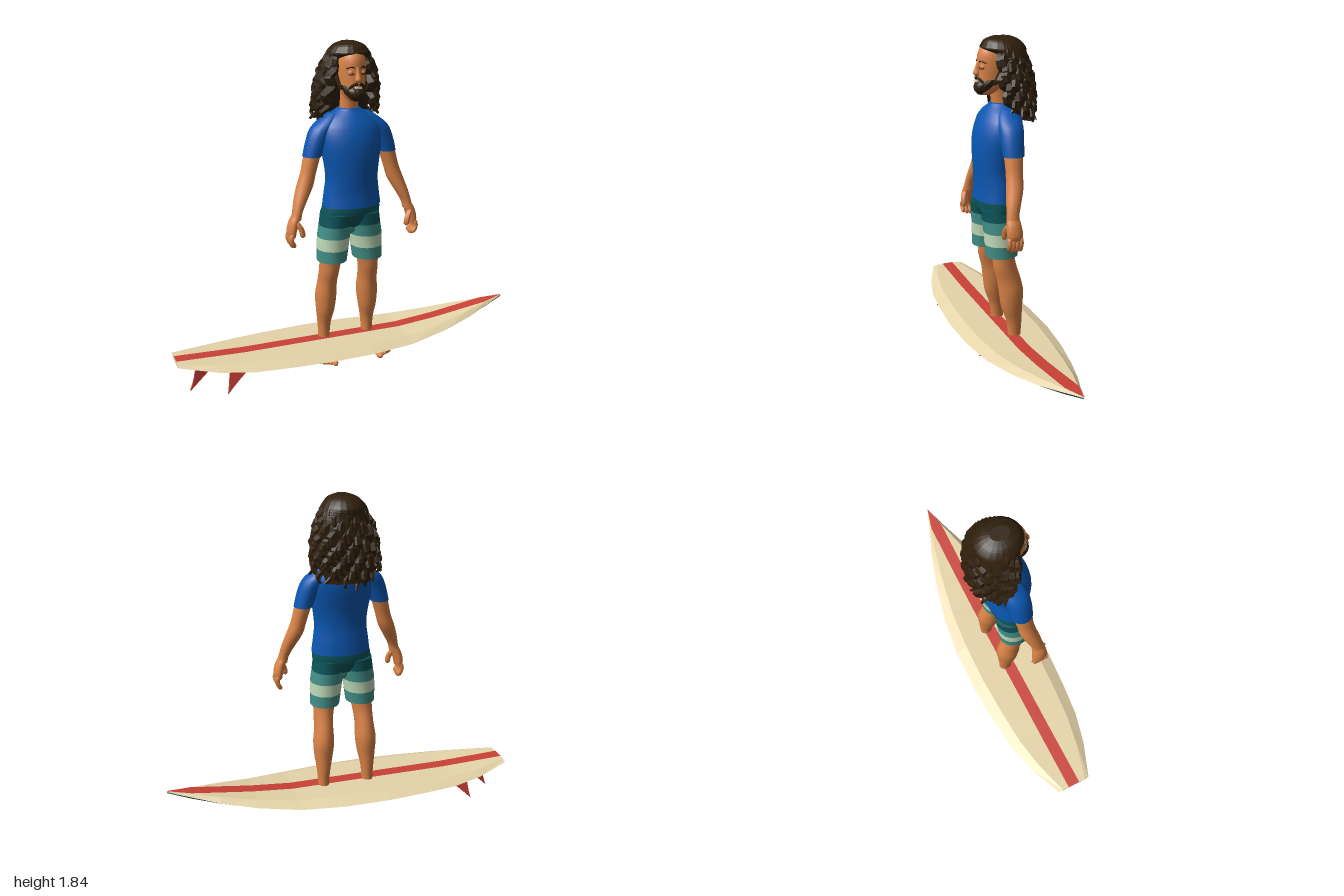
import * as THREE from 'three';

const mat = (name, color, opts = {}) => {
  const m = new THREE.MeshStandardMaterial({ color, ...opts });
  m.name = name;
  return m;
};

export function createModel() {
  const skin = mat('skin', 0xdb8347), hair = mat('hair brown', 0x30200d, { flatShading: true });
  const blue = mat('shirt blue', 0x0a57b2), dark = mat('shorts dark teal', 0x0b555b);
  const teal = mat('shorts teal', 0x439089), pale = mat('shorts pale green', 0xc2dcba);
  const cream = mat('deck cream', 0xe6d5aa, { flatShading: true });
  const hull = mat('hull dark teal', 0x2d6663, { flatShading: true });
  const red = mat('red', 0xcb4136, { flatShading: true, side: THREE.DoubleSide });
  const white = mat('teeth white', 0xe8dccb);

  const model = new THREE.Group();
  model.name = 'surferOnBoard';
  const group = (name, x = 0) => {
    const g = new THREE.Group();
    g.name = name;
    g.position.x = x;
    model.add(g);
    return g;
  };
  const add = (parent, name, geo, m) => {
    const mesh = new THREE.Mesh(geo, m);
    mesh.name = name;
    parent.add(mesh);
    return mesh;
  };

  // Skin a grid of points; the front side is (column direction) x (row direction)
  const grid = (rows, closed = false) => {
    const n = rows[0].length, index = [];
    for (let i = 0; i < rows.length - 1; i++)
      for (let j = 0; j < (closed ? n : n - 1); j++) {
        const k = (j + 1) % n, a = i * n + j, b = i * n + k, c = a + n, d = b + n;
        index.push(a, b, c, b, d, c);
      }
    const g = new THREE.BufferGeometry();
    g.setAttribute('position', new THREE.Float32BufferAttribute(rows.flat(2), 3));
    g.setIndex(index);
    g.computeVertexNormals();
    return g;
  };

  // Elliptic section [y, x, z, rx, rz] smoothly interpolated at height y
  const sectionAt = (rows, y) => {
    let i = 0;
    while (i < rows.length - 2 && y > rows[i + 1][0]) i++;
    const p = rows[i], q = rows[i + 1], h = q[0] - p[0], t = (y - p[0]) / h;
    const o = rows[Math.max(i - 1, 0)], r = rows[Math.min(i + 2, rows.length - 1)];
    return p.map((v, k) => {
      if (k === 0) return y;
      const m0 = (q[k] - o[k]) / (q[0] - o[0]) * h, m1 = (r[k] - p[k]) / (r[0] - p[0]) * h;
      const t2 = t * t, t3 = t2 * t;
      return (2 * t3 - 3 * t2 + 1) * v + (t3 - 2 * t2 + t) * m0 + (3 * t2 - 2 * t3) * q[k] + (t3 - t2) * m1;
    });
  };

  // Capped loft through sections in rising y; s mirrors it, y0..y1 cuts out a band
  const loft = (rows, s = 1, seg = 20, y0 = rows[0][0], y1 = rows[rows.length - 1][0]) => {
    const ys = [y0];
    for (let i = 0; i < rows.length - 1; i++)
      for (let k = 0; k < 3; k++) {
        const y = rows[i][0] + (rows[i + 1][0] - rows[i][0]) * k / 3;
        if (y > y0 + 1e-4 && y < y1 - 1e-4) ys.push(y);
      }
    ys.push(y1);
    const ring = (y, f = 1) => {
      const [, x, z, rx, rz] = sectionAt(rows, y);
      return Array.from({ length: seg }, (_, j) => {
        const a = -j / seg * Math.PI * 2;
        return [s * x + f * rx * Math.cos(a), y, z + f * rz * Math.sin(a)];
      });
    };
    return grid([ring(y0, 0), ring(y0), ...ys.map(y => ring(y)), ring(y1), ring(y1, 0)], true);
  };

  // Tube along points whose radius follows r(t)
  const taper = (pts, r, steps = 10, sides = 6) => {
    const curve = new THREE.CatmullRomCurve3(pts.map(p => new THREE.Vector3(...p)));
    const g = new THREE.TubeGeometry(curve, steps, 1, sides), pos = g.attributes.position;
    const v = new THREE.Vector3();
    for (let i = 0; i < pos.count; i++) {
      const t = Math.floor(i / (sides + 1)) / steps, c = curve.getPointAt(t);
      v.fromBufferAttribute(pos, i).sub(c).multiplyScalar(r(t)).add(c);
      pos.setXYZ(i, v.x, v.y, v.z);
    }
    g.computeVertexNormals();
    return g;
  };
  const rounded = r => t => r * Math.pow(Math.max(0, 1 - Math.pow(2 * t - 1, 6)), 0.5) + 1e-4;

  // Board: x, half width, deck height, rail height, bottom height
  const board = group('surfboard');
  const stations = [
    [-1, 0.1, 0.203, 0.197, 0.185], [-0.8, 0.18, 0.196, 0.172, 0.143], [-0.62, 0.225, 0.19, 0.162, 0.137],
    [-0.43, 0.245, 0.19, 0.161, 0.136], [-0.2, 0.26, 0.19, 0.16, 0.136], [0.06, 0.255, 0.19, 0.16, 0.136],
    [0.3, 0.225, 0.19, 0.163, 0.138], [0.53, 0.17, 0.21, 0.183, 0.156], [0.72, 0.11, 0.235, 0.21, 0.188],
    [0.87, 0.05, 0.255, 0.239, 0.223], [1, 0.002, 0.271, 0.268, 0.262]];
  const deckRow = ([x, w, t, e]) => [[x, e, -w], [x, t, -0.73 * w], [x, t, 0.73 * w], [x, e, w]];
  const hullRow = ([x, w, , e, b]) => [[x, e, w], [x, b, 0.65 * w], [x, b, -0.65 * w], [x, e, -w]];
  add(board, 'deck', grid(stations.map(deckRow)), cream);
  add(board, 'hull', grid(stations.map(hullRow)), hull);
  add(board, 'tailEnd', grid([hullRow(stations[0]).reverse(), deckRow(stations[0])]), cream);
  add(board, 'deckStripe', grid(stations.map(([x, w, t]) => {
    const h = Math.min(0.035, 0.7 * w);
    return [[x, t + 0.003, -h], [x, t + 0.003, h]];
  })), red);

  // Three fins, the outer pair splayed
  const fin = (name, x, len, dx, depth, z, tilt) => {
    const sh = new THREE.Shape();
    sh.moveTo(0, 0.01);
    sh.quadraticCurveTo(-len * 0.75, -depth * 0.55, dx, -depth);
    sh.quadraticCurveTo(-len * 1.05, -depth * 0.5, -len, 0.01);
    const g = new THREE.ExtrudeGeometry(sh, { depth: 0.014, bevelEnabled: false, curveSegments: 4 });
    g.translate(0, 0, -0.007);
    const f = add(board, name, g, red);
    f.position.set(x, 0.142, z);
    f.rotation.x = tilt;
  };
  fin('centreFin', -0.775, 0.118, -0.153, 0.138, 0, 0);
  for (const s of [-1, 1]) fin('sideFin', -0.615, 0.12, -0.14, 0.12, s * 0.125, -s * 0.22);

  // Legs, feet and banded shorts
  const lower = group('lowerBody', -0.017);
  const legRows = [[0.12, 0.131, -0.02, 0.034, 0.04], [0.2, 0.131, -0.018, 0.032, 0.038], [0.28, 0.13, -0.016, 0.038, 0.045],
    [0.36, 0.127, -0.004, 0.051, 0.06], [0.45, 0.124, -0.001, 0.059, 0.07], [0.53, 0.12, 0.012, 0.053, 0.068],
    [0.6, 0.116, 0.032, 0.055, 0.066], [0.66, 0.11, 0.04, 0.06, 0.062], [0.72, 0.105, 0.045, 0.065, 0.065]];
  const footRows = [[-0.062, 0, 0, 0.012, 0.01], [-0.045, 0, 0, 0.033, 0.023], [0, 0, -0.005, 0.036, 0.028],
    [0.08, 0, 0, 0.042, 0.023], [0.135, 0, 0.004, 0.053, 0.017], [0.165, 0, 0.006, 0.045, 0.012]];
  const shortRows = [[0.67, 0.104, 0.047, 0.082, 0.09], [0.8, 0.094, 0.047, 0.09, 0.096], [0.88, 0.083, 0.048, 0.089, 0.101], [0.94, 0.076, 0.049, 0.088, 0.106]];
  const bands = [['hemBand', 0.67, 0.738, teal], ['paleBand', 0.738, 0.807, pale], ['upperBand', 0.807, 0.873, teal], ['hipBand', 0.873, 0.94, dark]];
  for (const s of [-1, 1]) {
    add(lower, 'leg', loft(legRows, s), skin);
    const foot = new THREE.Group();
    foot.name = 'foot';
    foot.position.set(s * 0.131, 0.113, 0);
    foot.rotation.y = s * 0.22;
    lower.add(foot);
    add(foot, 'sole', loft(footRows, 1, 16), skin).rotation.x = Math.PI / 2;
    for (let i = 0; i < 5; i++) {
      const toe = add(foot, 'toe', new THREE.SphereGeometry(i ? 0.011 : 0.016, 8, 6), skin);
      toe.position.set(s * (-0.036 + i * 0.0205), -0.008, 0.172 - i * 0.007);
      toe.scale.z = 1.5;
    }
    for (const [name, a, b, m] of bands) add(lower, name, loft(shortRows, s, 20, a, b), m);
  }
  add(lower, 'crotch', loft([[0.815, 0, 0.047, 0.02, 0.03], [0.835, 0, 0.047, 0.04, 0.05], [0.875, 0, 0.047, 0.05, 0.062]]), teal);
  add(lower, 'shortsWaist', loft([[0.865, 0, 0.048, 0.12, 0.07], [0.9, 0.001, 0.048, 0.155, 0.092], [0.94, 0.004, 0.049, 0.166, 0.106], [1, 0.008, 0.05, 0.158, 0.107]], 1, 28), dark);

  // Shirt, sleeves, arms and hands
  const upper = group('upperBody', -0.008);
  add(upper, 'shirt', loft([[0.98, 0, 0.052, 0.164, 0.114], [1.05, 0, 0.051, 0.155, 0.109], [1.13, 0, 0.055, 0.146, 0.107],
    [1.22, 0, 0.053, 0.155, 0.113], [1.32, 0, 0.04, 0.172, 0.122], [1.4, 0, 0.023, 0.17, 0.117],
    [1.45, 0, 0.012, 0.135, 0.098], [1.485, 0, 0.01, 0.08, 0.073], [1.5, 0, 0.013, 0.058, 0.06]], 1, 28), blue);
  const collar = add(upper, 'collar', new THREE.TorusGeometry(0.055, 0.008, 6, 20), blue);
  collar.position.set(0, 1.494, 0.014);
  collar.rotation.x = Math.PI / 2;
  const sleeveRows = [[1.255, 0.214, 0.028, 0.051, 0.057], [1.33, 0.19, 0.026, 0.057, 0.062], [1.4, 0.155, 0.02, 0.062, 0.066],
    [1.45, 0.112, 0.014, 0.045, 0.055], [1.475, 0.09, 0.012, 0.03, 0.035]];
  const armRows = [[0.93, 0.326, 0.078, 0.028, 0.036], [0.97, 0.316, 0.074, 0.028, 0.034], [1.03, 0.293, 0.06, 0.037, 0.04],
    [1.1, 0.262, 0.042, 0.045, 0.046], [1.17, 0.239, 0.035, 0.042, 0.045], [1.25, 0.217, 0.03, 0.045, 0.05], [1.3, 0.2, 0.028, 0.045, 0.05]];
  const palmRows = [[0.84, 0.35, 0.076, 0.02, 0.039], [0.87, 0.35, 0.076, 0.026, 0.044], [0.92, 0.337, 0.077, 0.028, 0.04], [0.95, 0.323, 0.076, 0.027, 0.035]];
  for (const s of [-1, 1]) {
    add(upper, 'sleeve', loft(sleeveRows, s), blue);
    add(upper, 'arm', loft(armRows, s), skin);
    add(upper, 'palm', loft(palmRows, s, 14), skin);
    for (let i = 0; i < 4; i++) {
      const z = 0.046 + i * 0.021, end = 0.782 - Math.sin(i + 0.4) * 0.01;
      add(upper, 'finger', taper([[s * 0.353, 0.865, z], [s * 0.362, 0.825, z], [s * 0.34, end, z]], rounded(0.0135)), skin);
    }
    add(upper, 'thumb', taper([[s * 0.334, 0.925, 0.1], [s * 0.308, 0.88, 0.117], [s * 0.3, 0.835, 0.115]], rounded(0.0155)), skin);
  }

  // Head and face
  const head = group('head', -0.008);
  add(head, 'neck', loft([[1.44, 0, 0.005, 0.056, 0.058], [1.52, 0, 0.015, 0.048, 0.052], [1.6, 0, 0.025, 0.05, 0.055]]), skin);
  add(head, 'skull', loft([[1.545, 0, 0.1, 0.025, 0.03], [1.565, 0, 0.085, 0.048, 0.055], [1.6, 0, 0.06, 0.062, 0.085],
    [1.65, 0, 0.04, 0.072, 0.102], [1.7, 0, 0.03, 0.077, 0.112], [1.76, 0, 0.025, 0.076, 0.113], [1.81, 0, 0.015, 0.06, 0.09], [1.83, 0, 0.01, 0.035, 0.05]], 1, 24), skin);
  add(head, 'nose', loft([[1.645, 0, 0.142, 0.01, 0.01], [1.657, 0, 0.147, 0.018, 0.02], [1.68, 0, 0.145, 0.011, 0.015], [1.725, 0, 0.136, 0.008, 0.007]], 1, 10), skin);
  add(head, 'beard', loft([[1.548, 0, 0.115, 0.018, 0.025], [1.57, 0, 0.1, 0.046, 0.06], [1.6, 0, 0.085, 0.061, 0.074], [1.628, 0, 0.062, 0.07, 0.07]], 1, 16), hair);
  const mouth = add(head, 'teeth', new THREE.BoxGeometry(0.034, 0.009, 0.008), white);
  mouth.position.set(0, 1.619, 0.151);
  for (const s of [-1, 1]) {
    add(head, 'moustache', taper([[0, 1.637, 0.15], [s * 0.022, 1.635, 0.144], [s * 0.044, 1.608, 0.122]], rounded(0.008)), hair);
    add(head, 'sideburn', taper([[s * 0.062, 1.6, 0.075], [s * 0.073, 1.65, 0.052], [s * 0.078, 1.7, 0.035]], rounded(0.013)), hair);
    add(head, 'eyebrow', taper([[s * 0.013, 1.717, 0.139], [s * 0.033, 1.725, 0.134], [s * 0.054, 1.713, 0.113]], rounded(0.004)), hair);
    add(head, 'eyelid', new THREE.SphereGeometry(0.015, 10, 8), skin).position.set(s * 0.032, 1.694, 0.124);
    add(head, 'lashes', taper([[s * 0.017, 1.692, 0.138], [s * 0.032, 1.686, 0.139], [s * 0.048, 1.691, 0.125]], rounded(0.0035)), hair);
    const ear = add(head, 'ear', new THREE.SphereGeometry(0.025, 10, 8), skin);
    ear.position.set(s * 0.076, 1.665, 0.035);
    ear.scale.set(0.45, 1, 0.7);
  }

  // Hair: a full mass behind the face, covered in wavy locks
  add(head, 'hairMass', loft([[1.41, 0, -0.11, 0.12, 0.045], [1.5, 0, -0.085, 0.15, 0.065], [1.6, 0, -0.06, 0.145, 0.08],
    [1.7, 0, -0.045, 0.135, 0.085], [1.75, 0, -0.03, 0.128, 0.092], [1.785, 0, 0, 0.116, 0.122], [1.805, 0, 0.004, 0.103, 0.112],
    [1.83, 0, 0.01, 0.076, 0.088], [1.845, 0, 0.01, 0.036, 0.05]], 1, 22), hair);
  for (let layer = 0; layer < 2; layer++)
    for (let k = 0; k < 16 - layer; k++) {
      const phi = -2.2 + (k + layer / 2) * 4.4 / 15, sx = Math.sin(phi), cz = Math.cos(phi);
      const wave = k * 2.3 + layer * 1.4, back = Math.max(0, cz);
      const bottom = 1.45 - 0.06 * back + layer * 0.06 + 0.015 * Math.sin(k * 5.1);
      const top = 1.79 + layer * 0.01, pts = [];
      for (let i = 0; i <= 14; i++) {
        const t = i / 14, w = Math.sin(wave + t * 22) * 0.015 * Math.min(1, t * 2.5);
        const rx = 0.09 + 0.088 * Math.pow(t, 0.75) + w;
        pts.push([sx * rx + cz * w, top + (bottom - top) * t, -0.05 * t - cz * (0.085 + 0.023 * Math.pow(t, 0.5) + w) + sx * w]);
      }
      add(head, 'hairLock', taper(pts, t => 0.006 + 0.024 * Math.sin(Math.PI * Math.min(1, 0.12 + t * 0.88)), 24, 5), hair);
    }
  return model;
}
